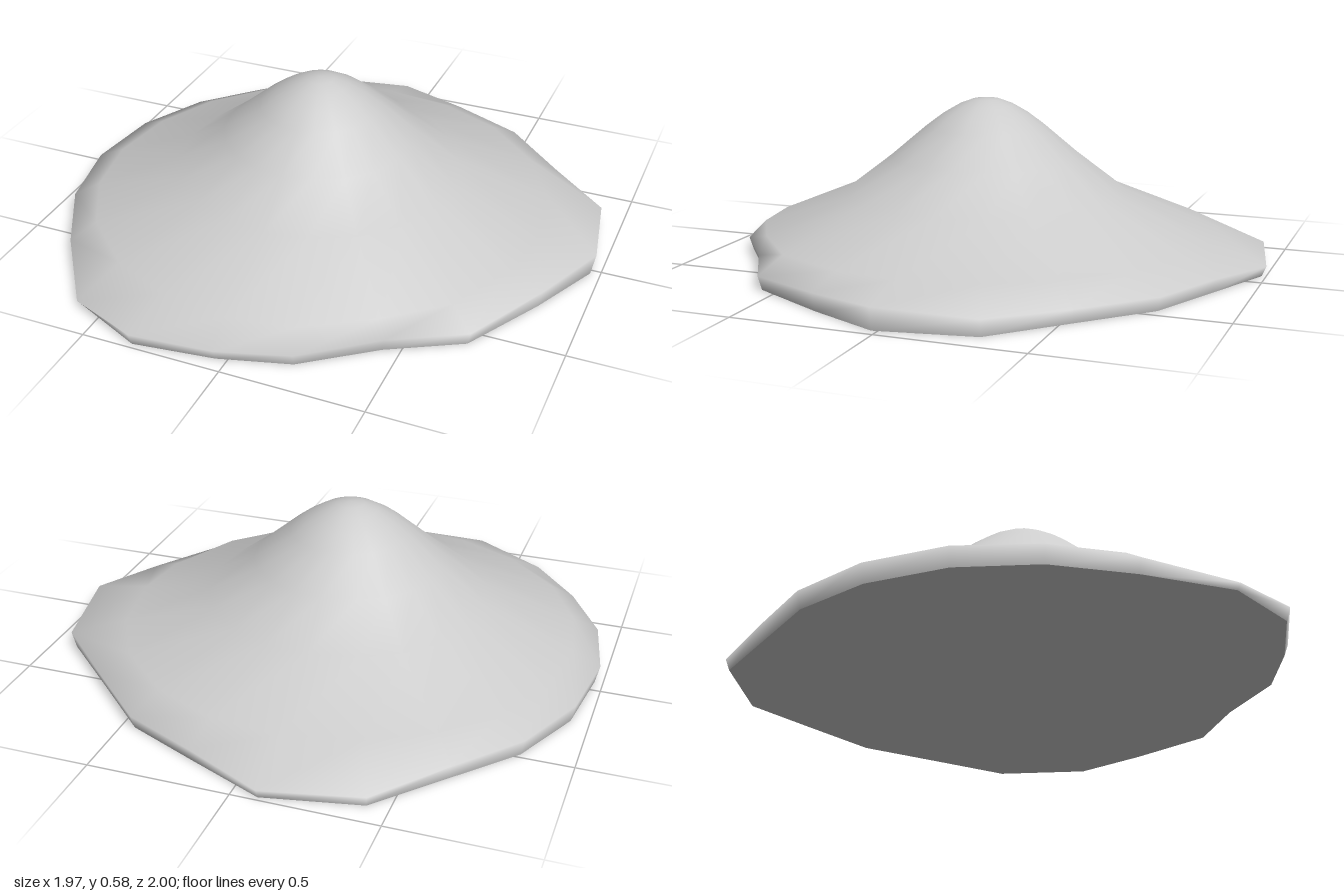
import * as THREE from 'three';

// Rim corners, clockwise from the back: [x, z, height of the rim's upper edge]
const RIM = [
  [-0.09, -1.0, 0.035], [0.19, -0.88, 0.05], [0.46, -0.76, 0.05], [0.69, -0.54, 0.05],
  [0.92, -0.32, 0.06], [0.98, 0.02, 0.08], [0.86, 0.28, 0.065], [0.70, 0.57, 0.05],
  [0.45, 0.71, 0.05], [0.21, 0.89, 0.045], [-0.04, 0.96, 0.04], [-0.33, 0.995, 0.045],
  [-0.60, 0.87, 0.02], [-0.79, 0.60, 0.05], [-0.93, 0.34, 0.06], [-0.985, 0.06, 0.065],
  [-0.95, -0.23, 0.065], [-0.83, -0.49, 0.06], [-0.64, -0.70, 0.055], [-0.43, -0.93, 0.04],
];
const PEAK = { x: -0.055, y: 0.585, z: 0.035 };
// Slope of the mound: [distance from the peak, height]
const SLOPE = [[0.05, 0.579], [0.1, 0.56], [0.16, 0.525], [0.22, 0.48], [0.35, 0.37], [0.52, 0.24]];

// Closed surface from loops of points, starting from a single centre point
function loopSurface(centre, loops, flip) {
  const n = loops[0].length;
  const index = [];
  const tri = (a, b, c) => (flip ? index.push(a, c, b) : index.push(a, b, c));
  for (let i = 0; i < n; i++) {
    const j = (i + 1) % n;
    tri(0, 1 + j, 1 + i);
    for (let k = 0; k < loops.length - 1; k++) {
      const a = 1 + k * n, b = a + n;
      tri(a + i, a + j, b + j);
      tri(a + i, b + j, b + i);
    }
  }
  const geometry = new THREE.BufferGeometry();
  geometry.setAttribute('position', new THREE.Float32BufferAttribute([centre, ...loops.flat()].flat(), 3));
  geometry.setIndex(index);
  geometry.computeVertexNormals();
  return geometry;
}

export function createModel() {
  const group = new THREE.Group();
  const material = new THREE.MeshStandardMaterial({ color: 0xcccccc });

  // Point at a distance from the peak, towards a rim corner
  const towards = ([x, z], distance, y) => {
    const dx = x - PEAK.x, dz = z - PEAK.z, length = Math.hypot(dx, dz);
    return [PEAK.x + (dx / length) * distance, y, PEAK.z + (dz / length) * distance];
  };
  const reach = ([x, z]) => Math.hypot(x - PEAK.x, z - PEAK.z);

  // Round slope, shoulder, uneven rim and the undercut edge below it
  const loops = SLOPE.map(([r, y]) => RIM.map((c) => towards(c, r, y)));
  loops.push(RIM.map((c) => {
    const r = Math.min(0.83, reach(c) - 0.03);
    return towards(c, r, 0.24 - 0.415 * (r - 0.52));
  }));
  loops.push(RIM.map(([x, z, y]) => [x, y, z]));
  const foot = RIM.map((c) => towards(c, reach(c) - 0.015, 0));
  loops.push(foot);

  const mound = new THREE.Mesh(loopSurface([PEAK.x, PEAK.y, PEAK.z], loops, false), material);
  mound.name = 'mound';

  // Flat underside
  const underside = new THREE.Mesh(loopSurface([PEAK.x, 0, PEAK.z], [foot], true), material);
  underside.name = 'underside';

  group.add(mound, underside);
  return group;
}
